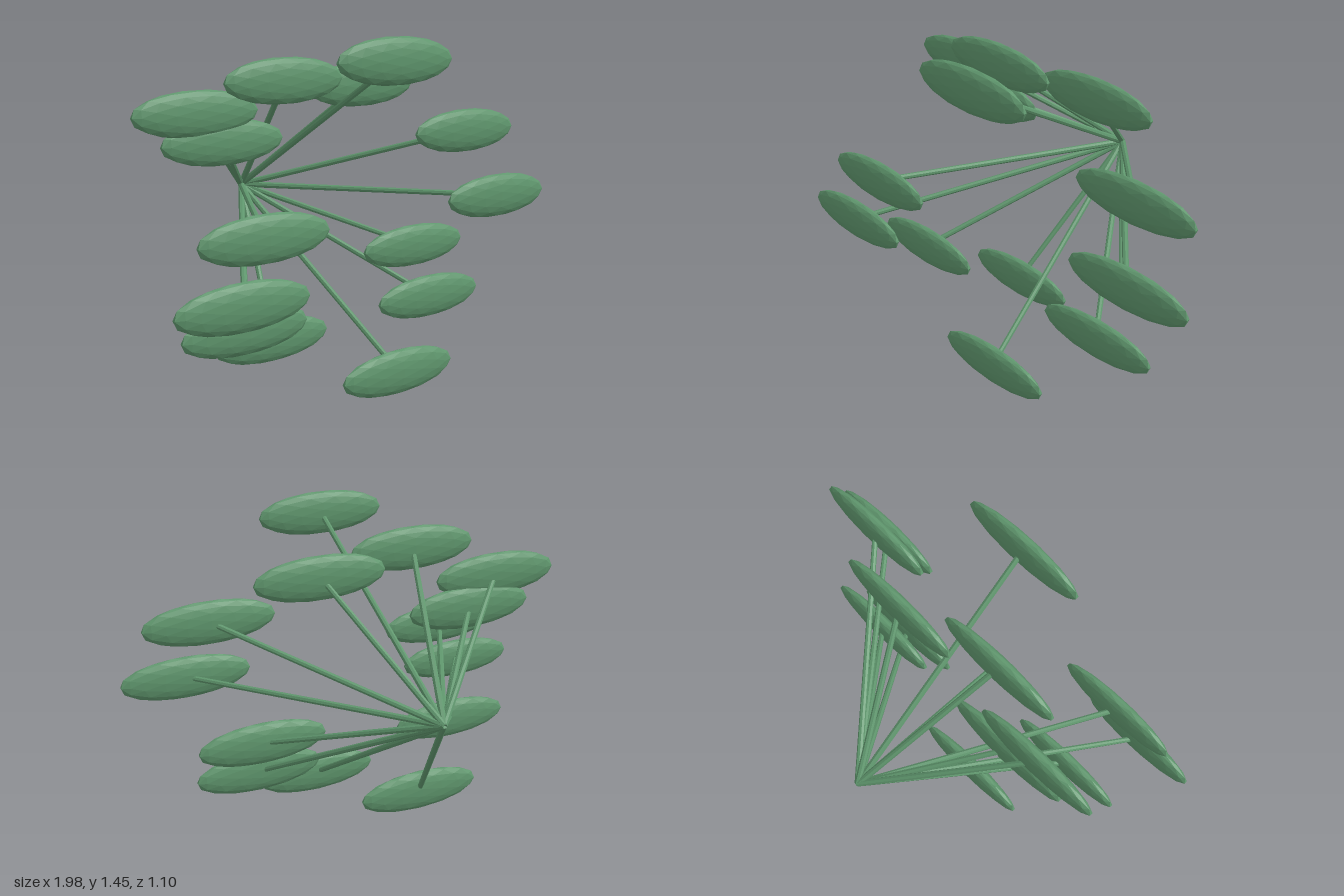
import * as THREE from 'three';

export function createModel() {
  const group = new THREE.Group();
  group.name = 'plant';
  const green = new THREE.MeshStandardMaterial({ color: 0x5f966d, flatShading: true });
  green.name = 'leafGreen';

  // Point where all stems meet
  const root = new THREE.Vector3(-0.06, 0.755, -0.54);

  // Leaf centres
  const leaves = [
    [0.024, 1.368, 0.458], [-0.23, 1.28, 0.073], [0.225, 1.237, -0.013],
    [-0.565, 1.157, -0.055], [-0.435, 1.032, -0.068], [0.625, 1.032, 0.22],
    [-0.585, 0.753, 0.463], [0.705, 0.753, 0.346], [-0.71, 0.53, 0.51],
    [0.465, 0.51, 0.076], [-0.543, 0.343, 0.255], [0.445, 0.308, 0.206],
    [-0.23, 0.17, -0.032], [0.074, 0.102, 0.44],
  ];

  // Flattened faceted ellipsoid shared by every leaf
  const leafGeometry = new THREE.IcosahedronGeometry(1, 2);
  leafGeometry.scale(0.289, 0.095, 0.037);

  const up = new THREE.Vector3(0, 1, 0);
  for (const p of leaves) {
    const tip = new THREE.Vector3(...p);

    const leaf = new THREE.Mesh(leafGeometry, green);
    leaf.name = 'leaf';
    leaf.position.copy(tip);
    group.add(leaf);

    // Stem running from the root to the leaf centre
    const dir = tip.clone().sub(root);
    const stem = new THREE.Mesh(new THREE.CylinderGeometry(0.012, 0.014, dir.length(), 8), green);
    stem.name = 'stem';
    stem.position.copy(root).addScaledVector(dir, 0.5);
    stem.quaternion.setFromUnitVectors(up, dir.normalize());
    group.add(stem);
  }
  return group;
}
